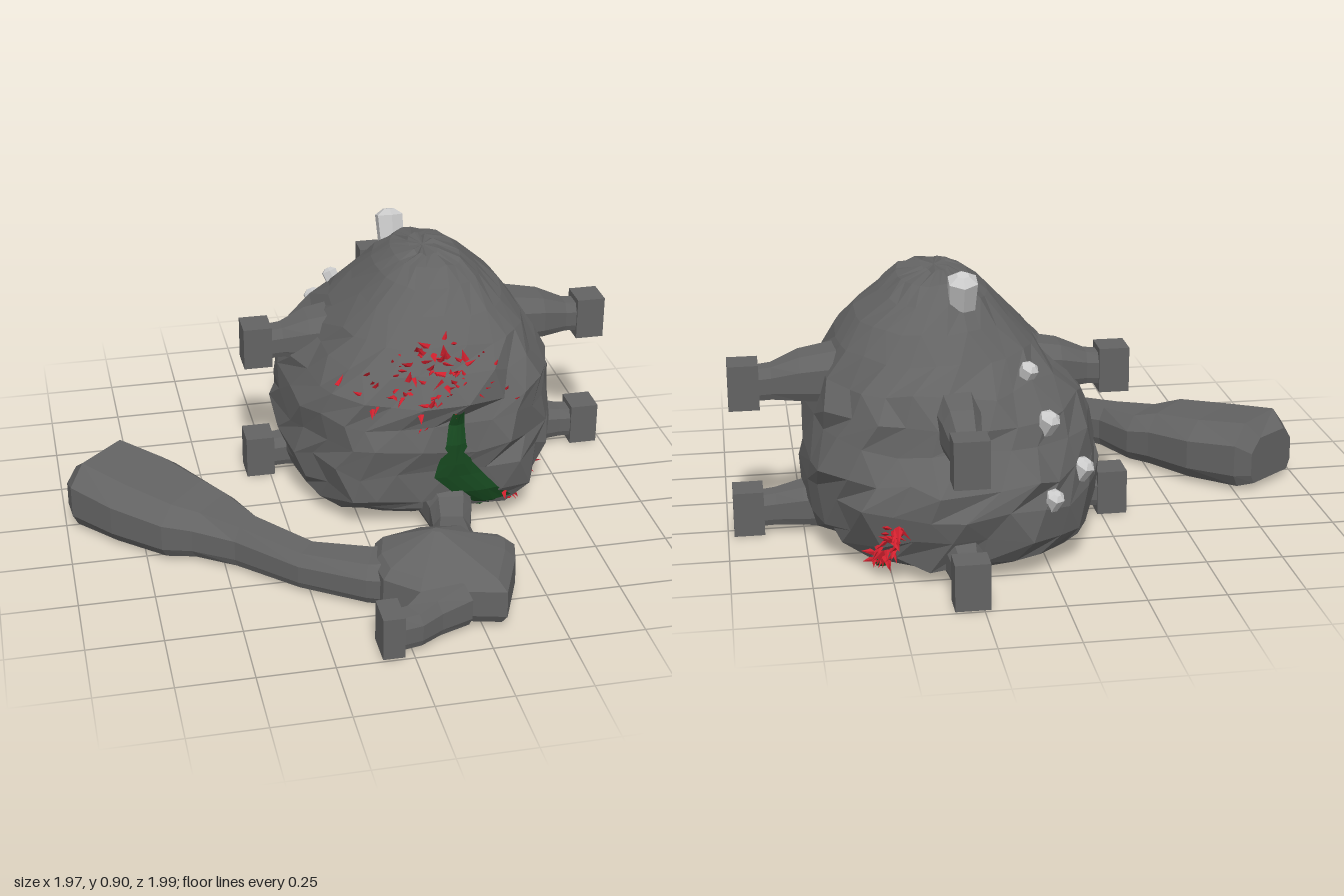
import * as THREE from 'three';
import { mergeGeometries } from 'three/addons/utils/BufferGeometryUtils.js';

const V = (x, y, z) => new THREE.Vector3(x, y, z);
const mat = (color, side = THREE.FrontSide) => new THREE.MeshStandardMaterial({ color, flatShading: true, side });

function seeded(seed) {
  return () => {
    seed = (seed * 1664525 + 1013904223) % 4294967296;
    return seed / 4294967296;
  };
}

// Closed skin over a stack of equal-length rings
function skin(rings) {
  const n = rings[0].length, pts = rings.flat(), idx = [];
  const centre = ring => ring.reduce((s, p) => s.add(p), V(0, 0, 0)).divideScalar(n);
  for (let i = 0; i < rings.length - 1; i++) {
    for (let j = 0; j < n; j++) {
      const a = i * n + j, b = i * n + (j + 1) % n, c = a + n, d = b + n;
      idx.push(a, c, b, b, c, d);
    }
  }
  const last = (rings.length - 1) * n, lo = pts.length, hi = lo + 1;
  pts.push(centre(rings[0]), centre(rings[rings.length - 1]));
  for (let j = 0; j < n; j++) {
    const k = (j + 1) % n;
    idx.push(lo, j, k, hi, last + k, last + j);
  }
  const geo = new THREE.BufferGeometry().setFromPoints(pts);
  geo.setIndex(idx);
  geo.computeVertexNormals();
  return geo;
}

// Faceted passage along the ground plan; sections are [x, z, halfWidth, yLow, yHigh]
const PROFILE = [[1, -0.6], [1, 0.4], [0.6, 1], [-0.6, 1], [-1, 0.4], [-1, -0.6], [-0.85, -1], [0.85, -1]];
function passage(sections) {
  const rings = sections.map(([x, z, w, y0, y1], i) => {
    const a = sections[Math.max(i - 1, 0)], b = sections[Math.min(i + 1, sections.length - 1)];
    const side = V(b[0] - a[0], 0, b[1] - a[1]).normalize().cross(V(0, 1, 0));
    return PROFILE.map(([u, v]) => V(x, (y0 + y1) / 2 + v * (y1 - y0) / 2, z).addScaledVector(side, u * w));
  });
  return skin(rings);
}

export function createModel() {
  const group = new THREE.Group();
  const rnd = seeded(7);
  const stone = mat(0x636363);
  const add = (name, geo, material) => {
    const mesh = new THREE.Mesh(geo, material);
    mesh.name = name;
    group.add(mesh);
    return mesh;
  };

  // Boulder: bounds per height [y, xMin, xMax, zMin, zMax]
  const layers = [
    [0.03, -0.1, 0.62, -0.71, 0.18], [0.07, -0.18, 0.7, -0.79, 0.26], [0.15, -0.21, 0.74, -0.84, 0.31],
    [0.24, -0.22, 0.75, -0.86, 0.32], [0.33, -0.22, 0.75, -0.83, 0.32], [0.42, -0.2, 0.73, -0.77, 0.32],
    [0.5, -0.16, 0.71, -0.75, 0.31], [0.58, -0.09, 0.68, -0.69, 0.27], [0.66, -0.02, 0.63, -0.6, 0.2],
    [0.74, 0.06, 0.56, -0.53, 0.12], [0.81, 0.13, 0.48, -0.45, 0.04], [0.86, 0.19, 0.42, -0.38, -0.02],
    [0.88, 0.25, 0.34, -0.28, -0.09],
  ];
  const SEG = 26;
  const bend = (v, p) => Math.sign(v) * Math.abs(v) ** p;
  const rockRings = layers.map(([y, x0, x1, z0, z1], i) => {
    const rough = i === 0 ? 0.01 : i > 7 ? 0.02 : 0.05;
    return Array.from({ length: SEG }, (_, j) => {
      const t = (j + 0.5 * (i % 2) + (rnd() - 0.5) * 0.4) / SEG * Math.PI * 2;
      const s = 1 + (rnd() - 0.55) * rough * 1.6;
      const p = Math.sin(t) > 0 ? 0.76 : 0.88;
      return V((x0 + x1) / 2 + bend(Math.cos(t), p) * (x1 - x0) / 2 * s,
        y + (i ? (rnd() - 0.5) * rough * 0.7 : 0),
        (z0 + z1) / 2 + bend(Math.sin(t), p) * (z1 - z0) / 2 * s);
    });
  });
  const rock = add('boulder', skin(rockRings), stone);
  rock.updateMatrixWorld();
  const caster = new THREE.Raycaster();
  const onRock = (from, dir) => {
    caster.set(from, dir.clone().normalize());
    return caster.intersectObject(rock)[0];
  };

  // Side and back stubs, each ending in a block
  const box = (name, x, y, z, w, h, d) => add(name, new THREE.BoxGeometry(w, h, d).translate(x, y, z), stone);
  for (const [label, y, flare] of [['upper', 0.525, 0.085], ['lower', 0.09, 0.07]]) {
    for (const [side, dx, dz] of [['Left', 1, 0], ['Right', -1, 0], ['Back', 0, -1]]) {
      const ox = 0.285, oz = -0.255;
      const yy = y - (dz && label === 'upper' ? 0.045 : 0);
      const end = dx === 1 ? 0.645 : dx === -1 ? 0.57 : 0.695;
      const wide = dz ? 0.06 : flare;
      const at = (r, w, up, down) => [ox + dx * r, oz + dz * r, w, yy - down, yy + up];
      add(label + side + 'Stub', passage([
        at(end - 0.3, wide + 0.015, flare + 0.03, 0.05), at(end - 0.18, wide, flare + 0.01, 0.045),
        at(end - 0.09, 0.05, 0.06, 0.045), at(end, 0.045, 0.05, 0.05),
      ]), stone);
      box(label + side + 'Block', ox + dx * end, yy, oz + dz * end, dx ? 0.1 : 0.11, 0.15, dx ? 0.11 : 0.09);
    }
  }

  // Front neck, junction slab, end spur and long arm with its paddle
  add('frontNeck', passage([
    [0.29, 0.15, 0.1, 0.03, 0.2], [0.285, 0.32, 0.072, 0.03, 0.16], [0.26, 0.43, 0.062, 0.03, 0.15], [0.23, 0.58, 0.085, 0.03, 0.18],
  ]), stone);
  const plan = [[0.42, 0.64], [0.4, 0.72], [0.32, 0.91], [0.2, 0.88], [0.05, 0.85], [-0.05, 0.76],
    [-0.06, 0.65], [-0.03, 0.54], [0.13, 0.5], [0.28, 0.52], [0.3, 0.57], [0.4, 0.61]];
  const slab = [[0.03, 0.93], [0.06, 1], [0.15, 0.99], [0.18, 0.86], [0.243, 0.06]];
  add('junction', skin(slab.map(([y, s]) =>
    plan.map(([x, z]) => V(0.15 + (x - 0.15) * s, y, 0.64 + (z - 0.64) * s)))), stone);
  add('endSpur', passage([
    [0.16, 0.82, 0.09, 0.03, 0.17], [0.07, 0.88, 0.06, 0.03, 0.15], [0.01, 0.925, 0.05, 0.03, 0.14], [-0.05, 0.94, 0.045, 0.03, 0.14],
  ]), stone);
  box('endBlock', -0.067, 0.09, 0.94, 0.07, 0.145, 0.115);
  add('longArm', passage([
    [0.08, 0.65, 0.13, 0.03, 0.18], [-0.06, 0.625, 0.09, 0.03, 0.16], [-0.25, 0.52, 0.068, 0.03, 0.15],
    [-0.42, 0.355, 0.072, 0.03, 0.17], [-0.52, 0.235, 0.125, 0.03, 0.185], [-0.6, 0.19, 0.155, 0.03, 0.21],
    [-0.73, 0.05, 0.18, 0.03, 0.23], [-0.86, -0.075, 0.165, 0.03, 0.25], [-0.895, -0.12, 0.115, 0.04, 0.2],
  ]), stone);

  // Dark green growth hanging down the front; rows are [y, xLeft, xRight]
  const green = mat(0x174a20, THREE.DoubleSide);
  const rows = [[0.48, 0.285, 0.325], [0.43, 0.275, 0.33], [0.36, 0.265, 0.335], [0.28, 0.24, 0.36],
    [0.23, 0.23, 0.4], [0.16, 0.3, 0.46], [0.1, 0.38, 0.52], [0.05, 0.45, 0.6]];
  const COLS = 4;
  const vine = new THREE.PlaneGeometry(1, 1, COLS, rows.length - 1);
  rows.forEach(([y, x0, x1], i) => {
    for (let j = 0; j <= COLS; j++) {
      const x = x0 + (x1 - x0) * j / COLS;
      const hit = onRock(V(x, y, 2), V(0, 0, -1));
      vine.attributes.position.setXYZ(i * (COLS + 1) + j, x, y,
        (hit ? hit.point.z : 0.18) + 0.004 + 0.01 * Math.sin(Math.PI * j / COLS));
    }
  });
  vine.computeVertexNormals();
  add('greenGrowth', vine, green);

  // Small green tufts around the foot
  for (let i = 0; i < 14; i++) {
    const t = i / 14 * Math.PI * 2 + rnd() * 0.3;
    const r = 0.86 + rnd() * 0.16;
    const tuft = new THREE.IcosahedronGeometry(0.026, 0).scale(1.3, 0.8, 1);
    add('greenTuft', tuft.translate(0.265 + Math.cos(t) * 0.38 * r, 0.03 + rnd() * 0.03, -0.26 + Math.sin(t) * 0.46 * r), green);
  }

  // Red spiky leaves scattered on the surface
  const leaves = [];
  const up = V(0, 1, 0);
  const leaf = (hit, size) => {
    if (!hit) return;
    const dir = hit.face.normal.clone().add(V(rnd() - 0.5, rnd() - 0.5, rnd() - 0.5).multiplyScalar(1.8)).normalize();
    const geo = new THREE.ConeGeometry(size * 0.3, size, 4).scale(1, 1, 0.5).translate(0, size * 0.4, 0);
    geo.applyQuaternion(new THREE.Quaternion().setFromUnitVectors(up, dir));
    leaves.push(geo.translate(hit.point.x, hit.point.y, hit.point.z));
  };
  // [count, x, y, spreadX, spreadY, size]
  for (const [count, cx, cy, sx, sy, size] of [
    [28, 0.26, 0.63, 0.14, 0.1, 0.04], [24, 0.1, 0.54, 0.22, 0.08, 0.035],
    [28, 0.26, 0.58, 0.42, 0.2, 0.02], [9, 0.58, 0.1, 0.12, 0.09, 0.04],
  ]) {
    for (let i = 0; i < count; i++) {
      const x = cx + (rnd() + rnd() - 1) * sx, y = cy + (rnd() + rnd() - 1) * sy;
      leaf(onRock(V(x, y, 2), V(0, 0, -1)), size * (0.8 + rnd() * 0.5));
    }
  }
  for (let i = 0; i < 34; i++) {
    const u = rnd();
    const target = V(0.54 - u * 0.1 + (rnd() - 0.5) * 0.08, 0.05 + u * 0.16, -0.68);
    leaf(onRock(target.clone().add(V(0.5, 0, -1)), V(-0.5, 0, 1)), 0.035 + rnd() * 0.025);
  }
  add('redLeaves', mergeGeometries(leaves), mat(0xd0202e, THREE.DoubleSide));

  // Pale crystals: one tall on top, small shards down the back
  const pale = mat(0xcccccc);
  const crystal = (name, base, dir, r, len) => {
    const body = new THREE.CylinderGeometry(r, r * 0.85, len, 6);
    const tip = new THREE.CylinderGeometry(r * 0.4, r, r * 0.4, 6).translate(0, len / 2 + r * 0.2, 0);
    const geo = mergeGeometries([body, tip]);
    geo.applyQuaternion(new THREE.Quaternion().setFromUnitVectors(up, dir.clone().normalize()));
    add(name, geo.translate(base.x, base.y, base.z), pale);
  };
  crystal('topCrystal', V(0.235, 0.825, -0.42), V(0, 1, -0.35), 0.052, 0.14);
  for (const [x, y, z, r] of [[0.03, 0.62, -0.58, 0.03], [0, 0.48, -0.67, 0.035], [-0.1, 0.3, -0.62, 0.035], [0.02, 0.25, -0.74, 0.03]]) {
    const out = V(x - 0.27, 0.15, z + 0.26).normalize();
    const hit = onRock(V(x, y, z).addScaledVector(out, 1), out.clone().negate());
    if (hit) crystal('backShard', hit.point, out.add(V(0, 1.2, 0)), r, 0.06);
  }
  return group;
}
